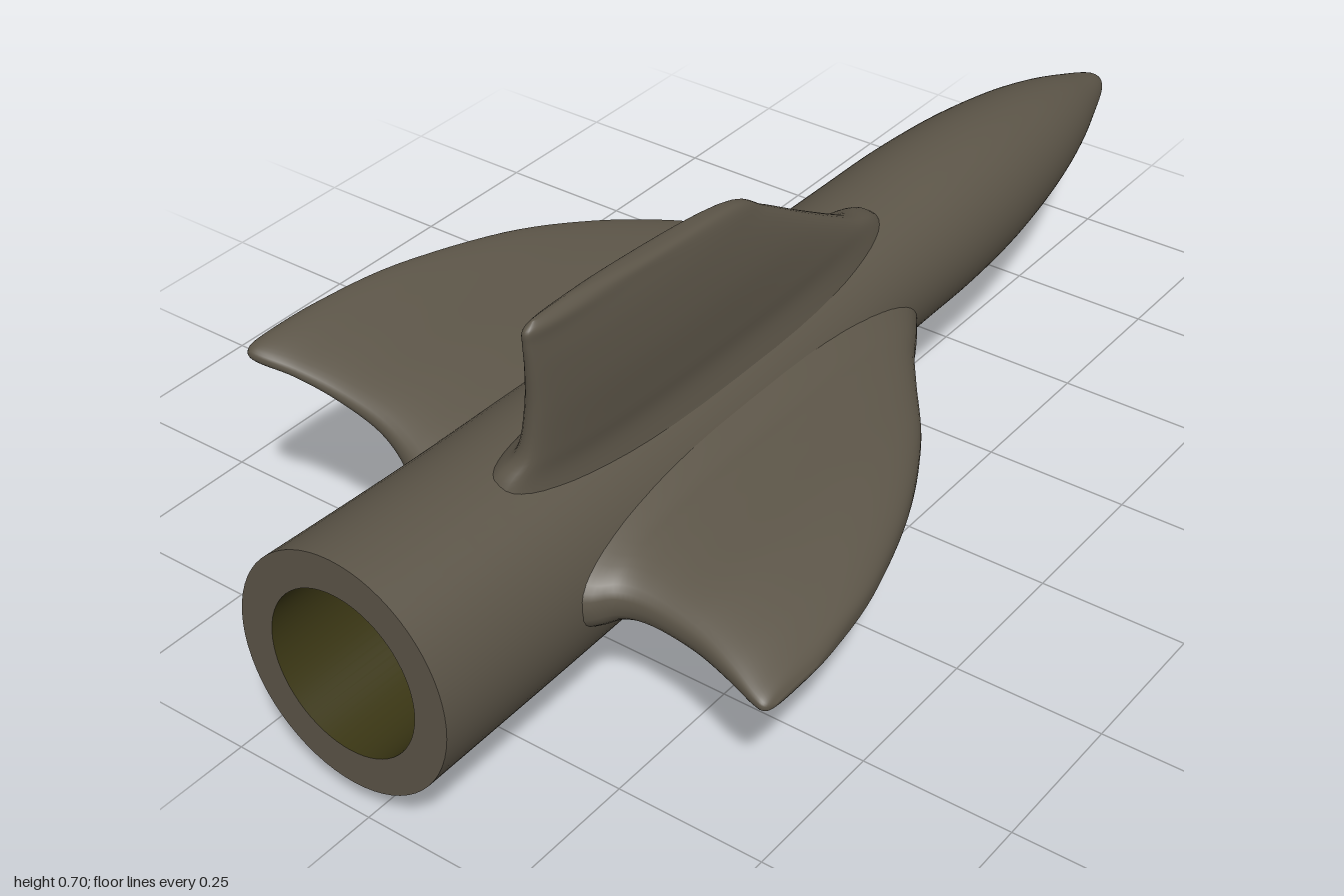
import * as THREE from 'three';

const hull = new THREE.MeshStandardMaterial({ color: 0x5c5548 });
hull.name = 'hull grey brown';
const dark = new THREE.MeshStandardMaterial({ color: 0x3a3614 });
dark.name = 'bore dark olive';

// Smoothly resamples rows of numbers with a Catmull-Rom rule.
function resample(rows, steps) {
  const out = [];
  const at = (i) => rows[Math.min(rows.length - 1, Math.max(0, i))];
  for (let i = 0; i < rows.length - 1; i++) {
    for (let k = 0; k < steps; k++) {
      const t = k / steps;
      out.push(rows[i].map((b, c) => {
        const a = at(i - 1)[c], d = at(i + 1)[c], e = at(i + 2)[c];
        return b + 0.5 * t * (d - a + t * (2 * a - 5 * b + 4 * d - e + t * (3 * (b - d) + e - a)));
      }));
    }
  }
  out.push(rows[rows.length - 1]);
  return out;
}

// Skins closed rings of points, each ring counter-clockwise around the travel direction.
function loft(name, rings, material, capEnd) {
  const n = rings[0].length, pos = rings.flat(2), index = [];
  for (let j = 0; j < rings.length - 1; j++) {
    for (let i = 0; i < n; i++) {
      const a = j * n + i, b = j * n + (i + 1) % n;
      index.push(a, b, b + n, a, b + n, a + n);
    }
  }
  if (capEnd) {
    const last = rings[rings.length - 1], base = (rings.length - 1) * n;
    pos.push(...[0, 1, 2].map((c) => last.reduce((s, p) => s + p[c], 0) / n));
    for (let i = 0; i < n; i++) index.push(base + i, base + (i + 1) % n, base + n);
  }
  const geo = new THREE.BufferGeometry();
  geo.setAttribute('position', new THREE.Float32BufferAttribute(pos, 3));
  geo.setIndex(index);
  geo.computeVertexNormals();
  const mesh = new THREE.Mesh(geo, material);
  mesh.name = name;
  return mesh;
}

// Elliptical hull ring from [x, centre y, centre z, radius y, radius z].
function ring([x, cy, cz, ry, rz]) {
  return Array.from({ length: 64 }, (_, i) => {
    const a = (i / 64) * Math.PI * 2;
    return [x, cy + ry * Math.cos(a), cz + rz * Math.sin(a)];
  });
}

// Fin rows: [zA, yA, zB, yB, leading x, trailing x], root to tip.
function fin(name, rows) {
  const soft = (v) => Math.sign(v) * Math.abs(v) ** 0.75;
  const rings = resample(rows, 6).map(([zA, yA, zB, yB, lead, trail]) =>
    Array.from({ length: 56 }, (_, i) => {
      const a = (i / 56) * Math.PI * 2, u = soft(Math.cos(a)), v = soft(Math.sin(a));
      return [
        (lead + trail) / 2 + (u * (lead - trail)) / 2,
        (yA + yB) / 2 + (v * (yA - yB)) / 2,
        (zA + zB) / 2 + (v * (zA - zB)) / 2,
      ];
    }));
  return loft(name, rings, hull, true);
}

export function createModel() {
  const group = new THREE.Group();
  group.name = 'finnedDart';

  // Hull: wide tail sleeve, waist, pointed nose
  const hullRows = [
    [-1, 0.253, -0.021, 0.197, 0.188],
    [-0.7, 0.251, -0.018, 0.19, 0.182],
    [-0.4, 0.254, -0.017, 0.186, 0.178],
    [-0.2, 0.258, -0.014, 0.182, 0.172],
    [0, 0.276, -0.007, 0.161, 0.156],
    [0.12, 0.293, -0.003, 0.142, 0.145],
    [0.25, 0.296, -0.002, 0.139, 0.142],
    [0.4, 0.297, -0.001, 0.138, 0.139],
    [0.55, 0.299, 0, 0.128, 0.128],
    [0.7, 0.301, 0, 0.106, 0.106],
    [0.82, 0.302, 0, 0.078, 0.078],
    [0.92, 0.303, 0, 0.045, 0.045],
    [0.97, 0.303, 0, 0.026, 0.026],
    [0.992, 0.303, 0, 0.012, 0.012],
    [1, 0.303, 0, 0.001, 0.001],
  ];
  group.add(loft('hull', resample(hullRows, 5).map(ring), hull, true));

  // Tail rim and hollow bore
  const bore = [-1, 0.253, -0.021, 0.137, 0.131];
  const deep = [-0.45, ...bore.slice(1)];
  group.add(loft('tailRim', [bore, hullRows[0]].map(ring), hull));
  group.add(loft('boreWall', [deep, bore].map(ring), dark));
  group.add(loft('boreEnd', [[-0.45, 0.253, -0.021, 0, 0], deep].map(ring), dark));

  // Four swept, curved fins
  group.add(fin('topFin', [
    [-0.08, 0.36, 0.12, 0.33, 0.24, -0.76],
    [-0.03, 0.435, 0.103, 0.42, 0.19, -0.73],
    [0.01, 0.475, 0.106, 0.475, 0.09, -0.7],
    [0.03, 0.55, 0.11, 0.55, -0.04, -0.693],
    [0.045, 0.62, 0.107, 0.62, -0.155, -0.697],
    [0.054, 0.665, 0.101, 0.665, -0.24, -0.702],
    [0.062, 0.687, 0.096, 0.687, -0.45, -0.702],
    [0.076, 0.699, 0.084, 0.699, -0.6, -0.685],
  ]));
  group.add(fin('frontFin', [
    [0.1, 0.37, 0.1, 0.13, 0.24, -0.74],
    [0.165, 0.34, 0.165, 0.172, 0.14, -0.71],
    [0.2, 0.332, 0.2, 0.19, 0.08, -0.68],
    [0.25, 0.323, 0.25, 0.2, 0.01, -0.67],
    [0.33, 0.308, 0.33, 0.203, -0.1, -0.675],
    [0.4, 0.284, 0.4, 0.206, -0.24, -0.69],
    [0.45, 0.258, 0.45, 0.208, -0.4, -0.702],
    [0.47, 0.243, 0.47, 0.213, -0.52, -0.7],
    [0.478, 0.23, 0.478, 0.224, -0.59, -0.68],
  ]));
  group.add(fin('rearFin', [
    [-0.1, 0.24, -0.06, 0.41, 0.24, -0.74],
    [-0.185, 0.26, -0.1, 0.402, 0.15, -0.71],
    [-0.205, 0.3, -0.16, 0.409, 0.1, -0.685],
    [-0.25, 0.338, -0.24, 0.421, 0.03, -0.67],
    [-0.33, 0.372, -0.32, 0.433, -0.07, -0.672],
    [-0.4, 0.397, -0.39, 0.447, -0.2, -0.685],
    [-0.455, 0.412, -0.445, 0.459, -0.38, -0.702],
    [-0.476, 0.424, -0.468, 0.456, -0.52, -0.7],
    [-0.483, 0.438, -0.481, 0.445, -0.59, -0.68],
  ]));
  group.add(fin('lowerFin', [
    [-0.06, 0.12, -0.16, 0.26, 0.22, -0.72],
    [-0.14, 0.112, -0.19, 0.215, 0.12, -0.69],
    [-0.2, 0.083, -0.235, 0.165, 0.03, -0.67],
    [-0.25, 0.048, -0.28, 0.12, -0.1, -0.665],
    [-0.3, 0.013, -0.325, 0.068, -0.27, -0.668],
    [-0.32, 0.002, -0.342, 0.037, -0.42, -0.67],
    [-0.333, 0.004, -0.346, 0.018, -0.58, -0.66],
  ]));
  return group;
}
